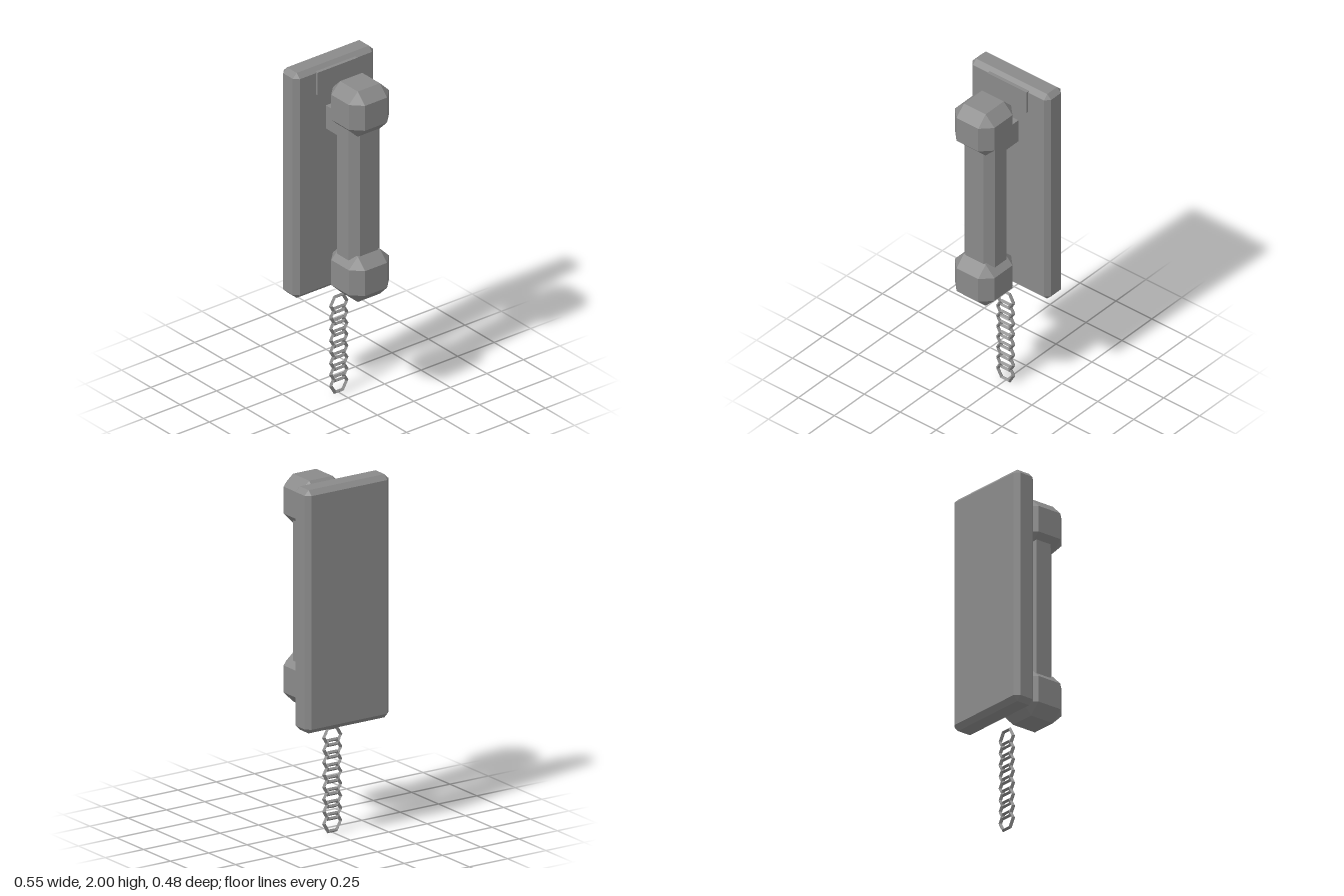
import * as THREE from 'three';
import { ConvexGeometry } from 'three/addons/geometries/ConvexGeometry.js';

// Box with every edge cut by the same chamfer c
function chamferBox(w, h, d, c) {
  const points = [];
  for (const sx of [-1, 1]) for (const sy of [-1, 1]) for (const sz of [-1, 1]) {
    const x = w / 2, y = h / 2, z = d / 2;
    points.push(
      new THREE.Vector3(sx * x, sy * (y - c), sz * (z - c)),
      new THREE.Vector3(sx * (x - c), sy * y, sz * (z - c)),
      new THREE.Vector3(sx * (x - c), sy * (y - c), sz * z)
    );
  }
  return new ConvexGeometry(points);
}

export function createModel() {
  const model = new THREE.Group();
  model.name = 'wallTelephone';
  const grey = new THREE.MeshStandardMaterial({ color: 0x8a8a8a, flatShading: true });
  grey.name = 'grey';

  function add(name, geometry, x, y, z, parent = model) {
    const mesh = new THREE.Mesh(geometry, grey);
    mesh.name = name;
    mesh.position.set(x, y, z);
    parent.add(mesh);
    return mesh;
  }

  // Wall plate with its label plate and the hook holding the handset
  add('backPlate', chamferBox(0.548, 1.365, 0.136, 0.027), 0, 1.3175, -0.172);
  add('labelPlate', new THREE.BoxGeometry(0.274, 0.136, 0.025), 0, 1.912, -0.1035);
  add('hook', new THREE.BoxGeometry(0.138, 0.14, 0.15), 0, 1.685, -0.045);

  // Handset: chamfered grip between two chunky end caps
  const handset = new THREE.Group();
  handset.name = 'handset';
  model.add(handset);
  add('grip', chamferBox(0.21, 1.0, 0.184, 0.043), 0, 1.32, 0.087, handset);
  const cap = chamferBox(0.274, 0.274, 0.274, 0.0615);
  add('earpiece', cap, 0, 1.822, 0.102, handset);
  add('mouthpiece', cap, 0, 0.819, 0.102, handset);

  // Hanging cord of hexagonal links
  const cord = new THREE.Group();
  cord.name = 'cord';
  model.add(cord);
  const link = new THREE.TorusGeometry(0.055, 0.011, 4, 6);
  for (let i = 0; i < 8; i++) add('cordLink', link, 0, 0.058 + i * 0.069, -0.08, cord);

  return model;
}
